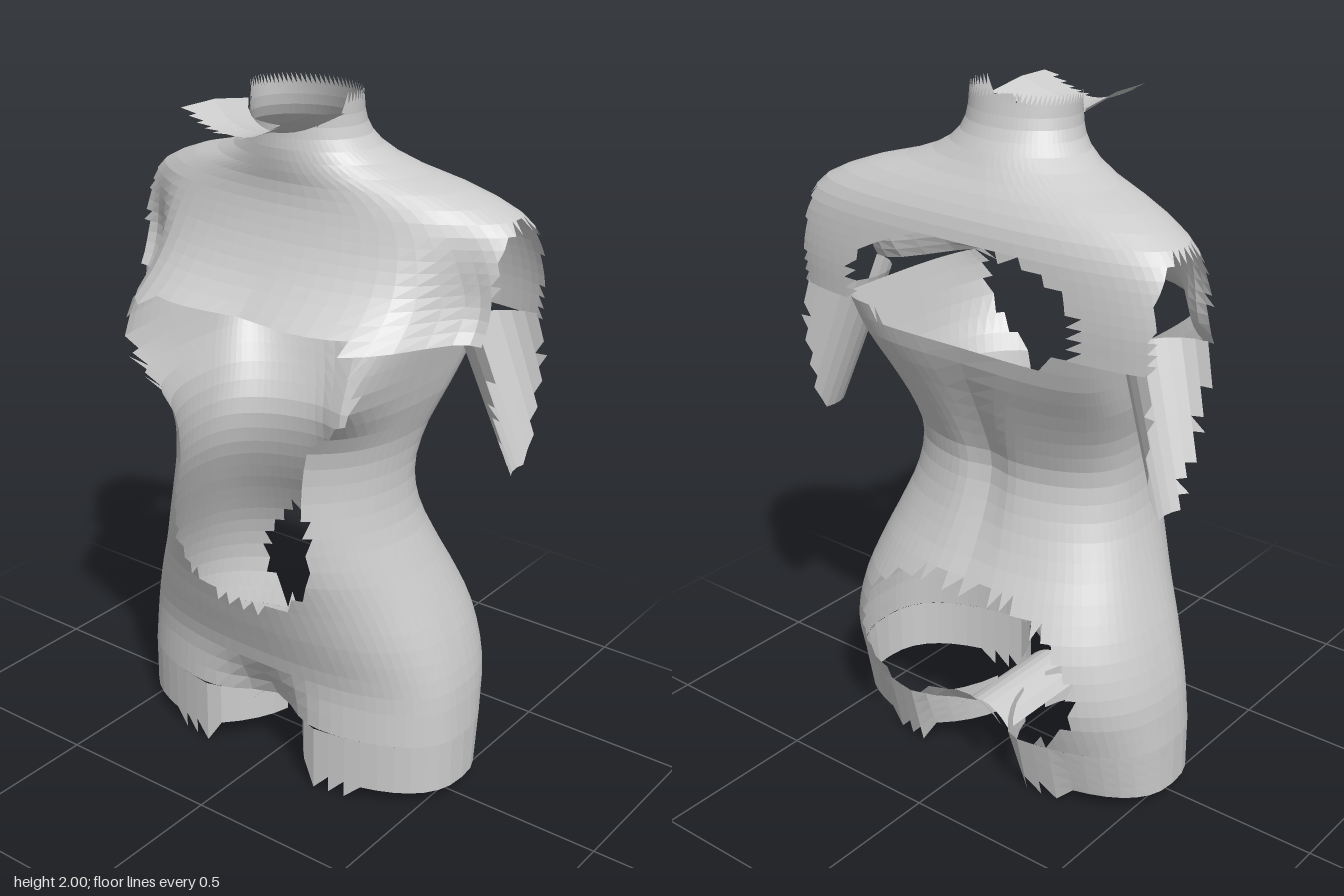
import * as THREE from 'three';

const material = new THREE.MeshStandardMaterial({ color: 0xcccccc, flatShading: true, side: THREE.DoubleSide });

// The shell is trimmed to a box; whole triangles drop out, leaving toothed rims
const insideBox = (c) => Math.abs(c.x) < 0.595 && c.z < 0.304 && c.z > -0.294 && c.y > 0.025 && c.y < 1.985;

// Grid surface from point(u, v), keeping only triangles whose centre passes the test
function sheet(name, nu, nv, point, keep = insideBox) {
  const p = (i, j) => point(i / nu, j / nv);
  const positions = [];
  const centre = new THREE.Vector3();
  for (let j = 0; j < nv; j++) {
    for (let i = 0; i < nu; i++) {
      const a = p(i, j), b = p(i + 1, j), c = p(i, j + 1), d = p(i + 1, j + 1);
      for (const tri of [[a, c, b], [b, c, d]]) {
        centre.set(0, 0, 0);
        tri.forEach((v) => centre.addScaledVector(v, 1 / 3));
        if (keep(centre)) tri.forEach((v) => positions.push(v.x, v.y, v.z));
      }
    }
  }
  const geometry = new THREE.BufferGeometry();
  geometry.setAttribute('position', new THREE.Float32BufferAttribute(positions, 3));
  geometry.computeVertexNormals();
  const mesh = new THREE.Mesh(geometry, material);
  mesh.name = name;
  return mesh;
}

const power = (v, e) => Math.sign(v) * Math.abs(v) ** e;
const bump = (d, width) => Math.exp(-((d / width) ** 2));
// Height of the line where the throat turns into the chin
const jawLine = (x) => 1.9 + 2.2 * x * x;

// Smooth superellipse body through rows of
// [y, half width, front z, back z, side z, front roundness, back roundness]
function section(rows) {
  const curve = new THREE.CubicInterpolant(rows.map((r) => r[0]), rows.flatMap((r) => r.slice(1)), 6, new Float32Array(6));
  return (u, y) => {
    const [w, front, back, side, ef, eb] = curve.evaluate(y);
    const t = u * Math.PI * 2, s = Math.sin(t);
    const e = s > 0 ? ef : eb;
    const z = side + (s > 0 ? front - side : side - back) * power(s, e);
    return new THREE.Vector3(w * power(Math.cos(t), e), y, z);
  };
}

// Bust, spine furrow, groin cleft and the hollow in front of the shoulder
function sculpt(v, s) {
  const ax = Math.abs(v.x), y = v.y;
  if (s > 0) {
    v.z += 0.16 * bump(ax - 0.25, 0.2) * bump(y - 1.29, y > 1.29 ? 0.13 : 0.1) * Math.min(1, s * 2);
    v.z -= 0.11 * bump(ax - 0.53, 0.085) * bump(y - 1.43, 0.17);
  } else {
    v.z += 0.025 * bump(ax, 0.06) * bump(y - 0.95, 0.25);
  }
  v.z -= Math.sign(s) * 0.1 * THREE.MathUtils.smoothstep(0.36 - y, 0, 0.18) * bump(ax, 0.12);
  return v;
}

function bodyPart(name, rows, segments, levels) {
  const at = section(rows);
  const y0 = rows[0][0], y1 = rows[rows.length - 1][0];
  // The front of the throat stops where the chin begins
  const keep = (c) => insideBox(c) && !(c.y > jawLine(c.x) && c.z > 0.04);
  return sheet(name, segments, levels, (u, v) => sculpt(at(u, y0 + (y1 - y0) * v), Math.sin(u * Math.PI * 2)), keep);
}

export function createModel() {
  const group = new THREE.Group();
  group.name = 'torso';

  // Hips, waist and bust
  group.add(bodyPart('trunk', [
    [0.20, 0.555, 0.24, -0.31, -0.02, 0.8, 0.8],
    [0.35, 0.540, 0.235, -0.37, -0.02, 0.8, 0.8],
    [0.50, 0.500, 0.28, -0.36, -0.02, 0.85, 0.8],
    [0.62, 0.455, 0.32, -0.305, -0.01, 0.9, 0.8],
    [0.72, 0.415, 0.36, -0.25, 0.01, 0.95, 0.8],
    [0.85, 0.370, 0.375, -0.20, 0.03, 0.95, 0.85],
    [0.97, 0.355, 0.365, -0.18, 0.03, 0.95, 0.85],
    [1.08, 0.365, 0.36, -0.21, 0.01, 0.9, 0.75],
    [1.20, 0.400, 0.35, -0.25, -0.03, 0.7, 0.6],
    [1.30, 0.420, 0.35, -0.285, -0.08, 0.5, 0.45],
    [1.40, 0.440, 0.315, -0.302, -0.12, 0.42, 0.35],
  ], 80, 24));

  // Upper chest, shoulders and neck
  group.add(bodyPart('shouldersAndNeck', [
    [1.40, 0.68, 0.315, -0.302, -0.12, 1, 0.6],
    [1.50, 0.68, 0.225, -0.303, -0.12, 1, 0.6],
    [1.60, 0.655, 0.165, -0.297, -0.12, 1, 0.62],
    [1.65, 0.63, 0.145, -0.292, -0.12, 1, 0.66],
    [1.70, 0.585, 0.13, -0.278, -0.115, 1, 0.72],
    [1.755, 0.46, 0.125, -0.245, -0.1, 1, 0.8],
    [1.80, 0.30, 0.132, -0.21, -0.06, 1, 0.9],
    [1.85, 0.205, 0.135, -0.178, -0.03, 1, 1],
    [1.90, 0.172, 0.13, -0.145, -0.01, 1, 1],
    [2.00, 0.165, 0.13, -0.115, 0, 1, 1],
  ], 72, 20));

  // Underside of the chin, growing out of the throat
  group.add(sheet('chin', 12, 8, (u, v) => {
    const x = (u - 0.5) * 0.32;
    const root = 0.13 * Math.sqrt(1 - (x / 0.172) ** 2);
    return new THREE.Vector3(x, jawLine(x) - 0.01 + 0.02 * Math.min(1, v * 2), root + (0.32 - root) * v);
  }));

  // Saddle between the legs
  group.add(sheet('crotch', 8, 8, (u, v) => {
    const x = (u - 0.5) * 0.2;
    return new THREE.Vector3(x, 0.2 - 6 * x * x, -0.21 + 0.35 * v);
  }));

  for (const [side, label] of [[1, 'left'], [-1, 'right']]) {
    // Arm stump leaning outwards from the armpit
    group.add(sheet(label + 'Arm', 24, 12, (u, v) => {
      const t = u * Math.PI * 2, r = 0.14 - 0.03 * v;
      return new THREE.Vector3(
        side * (0.58 + 0.135 * v + r * Math.cos(t)),
        1.41 - 0.46 * v,
        -0.12 - 0.06 * v + r * Math.sin(t));
    }));

    // Top of the thigh: the hip outline closed by a rounded inner side, ragged below
    group.add(sheet(label + 'Thigh', 32, 4, (u, v) => {
      const t = u * Math.PI * 2;
      const x = 0.3 + 0.255 * Math.cos(t);
      const outline = (1 - (x / 0.555) ** 2.5) ** 0.4 * Math.min(1, (x - 0.045) / 0.13) ** 0.5;
      const depth = Math.sin(t) > 0 ? 0.26 : -0.29 + 0.05 * (1 - v);
      const bottom = x > 0.33 ? 0.045 : x > 0.18 ? 0 : 0.07;
      return new THREE.Vector3(side * x, bottom + (0.2 - bottom) * v, -0.02 + depth * outline);
    }));
  }
  return group;
}
